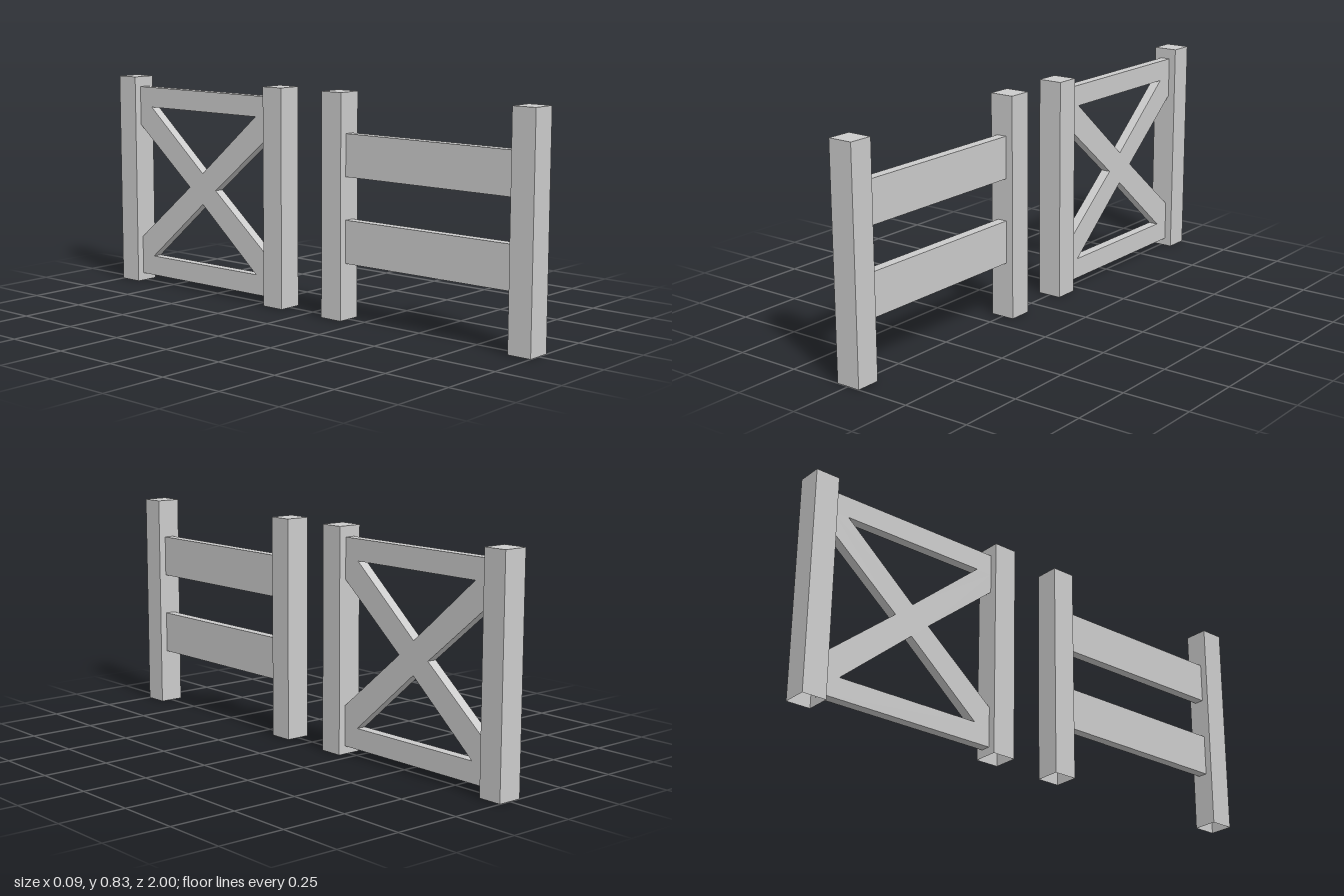
import * as THREE from 'three';

const material = new THREE.MeshStandardMaterial({ color: 0xcccccc, flatShading: true, side: THREE.DoubleSide });
const THICK = 0.038;

function add(group, name, geometry, y, z) {
  const mesh = new THREE.Mesh(geometry, material);
  mesh.name = name;
  mesh.position.set(0, y, z);
  group.add(mesh);
}

// Square post, open underneath
function postGeometry() {
  const g = new THREE.BoxGeometry(0.094, 0.834, 0.092);
  const index = Array.from(g.index.array);
  index.splice(18, 6); // drop the bottom face
  g.setIndex(index);
  g.clearGroups();
  return g;
}

// Flat board between two heights, spanning z
function addBoard(group, name, y0, y1, length, z) {
  add(group, name, new THREE.BoxGeometry(THICK, y1 - y0, length), (y0 + y1) / 2, z);
}

// X-shaped brace that fills a w x h opening, with its ends cut square to the frame
function crossGeometry(w, h) {
  const quarter = [[0.071, 0], [w, 0.23], [w, h], [0.2855, h], [0, 0.061]];
  const points = [
    ...quarter,
    ...quarter.slice(0, -1).reverse().map(([x, y]) => [-x, y]),
    ...quarter.slice(1).map(([x, y]) => [-x, -y]),
    ...quarter.slice(1, -1).reverse().map(([x, y]) => [x, -y]),
  ];
  const shape = new THREE.Shape(points.map(([x, y]) => new THREE.Vector2(x, y)));
  const g = new THREE.ExtrudeGeometry(shape, { depth: THICK, bevelEnabled: false });
  g.translate(0, 0, -THICK / 2);
  return g.rotateY(Math.PI / 2);
}

export function createModel() {
  const model = new THREE.Group();
  model.name = 'fenceAndGate';

  // Plain fence with two wide rails
  const fence = new THREE.Group();
  fence.name = 'railFence';
  for (const z of [0.954, 0.129]) add(fence, 'fencePost', postGeometry(), 0.417, z);
  addBoard(fence, 'upperRail', 0.528, 0.685, 0.734, 0.542);
  addBoard(fence, 'lowerRail', 0.21, 0.37, 0.734, 0.542);

  // Panel with narrow rails and a cross brace
  const gate = new THREE.Group();
  gate.name = 'crossBracedPanel';
  for (const z of [-0.161, -0.954]) add(gate, 'panelPost', postGeometry(), 0.417, z);
  addBoard(gate, 'topRail', 0.715, 0.794, 0.702, -0.558);
  addBoard(gate, 'bottomRail', 0.03, 0.108, 0.702, -0.558);
  add(gate, 'crossBrace', crossGeometry(0.351, 0.3035), 0.4115, -0.558);

  model.add(fence, gate);
  return model;
}
